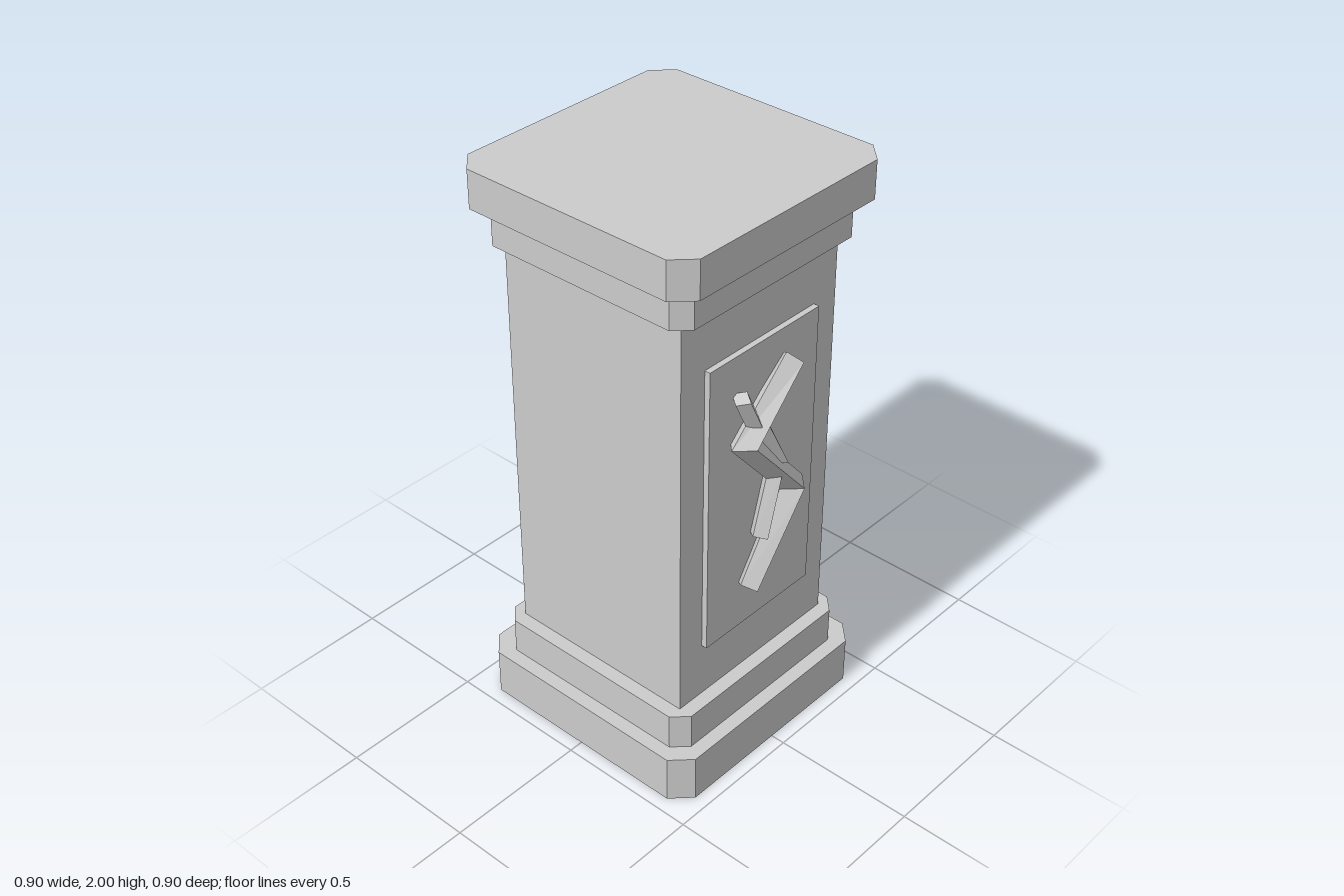
import * as THREE from 'three';

const material = new THREE.MeshStandardMaterial({ color: 0xcccccc, flatShading: true });

function addMesh(parent, geometry, name) {
  const mesh = new THREE.Mesh(geometry, material);
  mesh.name = name;
  parent.add(mesh);
  return mesh;
}

// Square slab with chamfered vertical corners: half width, chamfer, bottom and top
function slabGeometry(h, c, y0, y1) {
  const k = h - c;
  const shape = new THREE.Shape(
    [[h, -k], [h, k], [k, h], [-k, h], [-h, k], [-h, -k], [-k, -h], [k, -h]]
      .map(([x, y]) => new THREE.Vector2(x, y)));
  return new THREE.ExtrudeGeometry(shape, { depth: y1 - y0, bevelEnabled: false })
    .rotateX(-Math.PI / 2)
    .translate(0, y0, 0);
}

// Mitred diamond-section bar; stations run downwards as [x, y, side dx, side dy, depth]
function barGeometry(stations) {
  const rings = stations.map(([x, y, dx, dy, d]) => [
    [x + dx, y + dy, 0], [x, y, d], [x - dx, y - dy, 0], [x, y, -d],
  ]);
  const positions = [];
  const quad = (a, b, c, d) => positions.push(...a, ...b, ...c, ...a, ...c, ...d);
  for (let i = 0; i < rings.length - 1; i++) {
    for (let k = 0; k < 4; k++) {
      const n = (k + 1) % 4;
      quad(rings[i][k], rings[i][n], rings[i + 1][n], rings[i + 1][k]);
    }
  }
  const [r, f, l, b] = rings[0];
  quad(r, b, l, f);
  quad(...rings[rings.length - 1]);
  const geometry = new THREE.BufferGeometry();
  geometry.setAttribute('position', new THREE.Float32BufferAttribute(positions, 3));
  geometry.computeVertexNormals();
  return geometry;
}

const reliefBars = {
  zigzagBar: [
    [0.10, 1.435, 0.032, -0.034, 0.042],
    [-0.12, 1.235, 0.055, 0, 0.055],
    [0.115, 0.967, 0.055, 0, 0.055],
    [-0.085, 0.668, 0.032, -0.024, 0.042],
  ],
  upperBranch: [
    [-0.135, 1.403, 0.025, 0.013, 0.038],
    [-0.08, 1.29, 0.025, 0.013, 0.038],
  ],
  middleBranch: [
    [-0.045, 1.27, 0.025, 0.01, 0.042],
    [0.047, 1.095, 0.024, 0.008, 0.042],
  ],
  lowerBranch: [
    [0.025, 1.07, 0.025, -0.004, 0.038],
    [-0.037, 0.845, 0.027, -0.008, 0.038],
  ],
};

export function createModel() {
  const model = new THREE.Group();
  model.name = 'pedestal';

  // Stepped base and cap
  addMesh(model, slabGeometry(0.45, 0.065, 0, 0.17), 'basePlinth');
  addMesh(model, slabGeometry(0.40, 0.05, 0.17, 0.30), 'baseStep');
  addMesh(model, slabGeometry(0.40, 0.05, 1.74, 1.87), 'capStep');
  addMesh(model, slabGeometry(0.45, 0.065, 1.87, 2), 'capSlab');

  // Square shaft
  addMesh(model, new THREE.BoxGeometry(0.70, 1.44, 0.70), 'shaft').position.y = 1.02;

  // Raised panel and zigzag relief on the front and back
  for (const [side, sign] of [['front', 1], ['back', -1]]) {
    const panel = addMesh(model, new THREE.BoxGeometry(0.495, 1.035, 0.04), `${side}Panel`);
    panel.position.set(0, 1.018, sign * 0.35);

    const relief = new THREE.Group();
    relief.name = `${side}Relief`;
    relief.position.z = sign * 0.395;
    for (const [name, stations] of Object.entries(reliefBars)) {
      addMesh(relief, barGeometry(stations), name);
    }
    model.add(relief);
  }
  return model;
}
